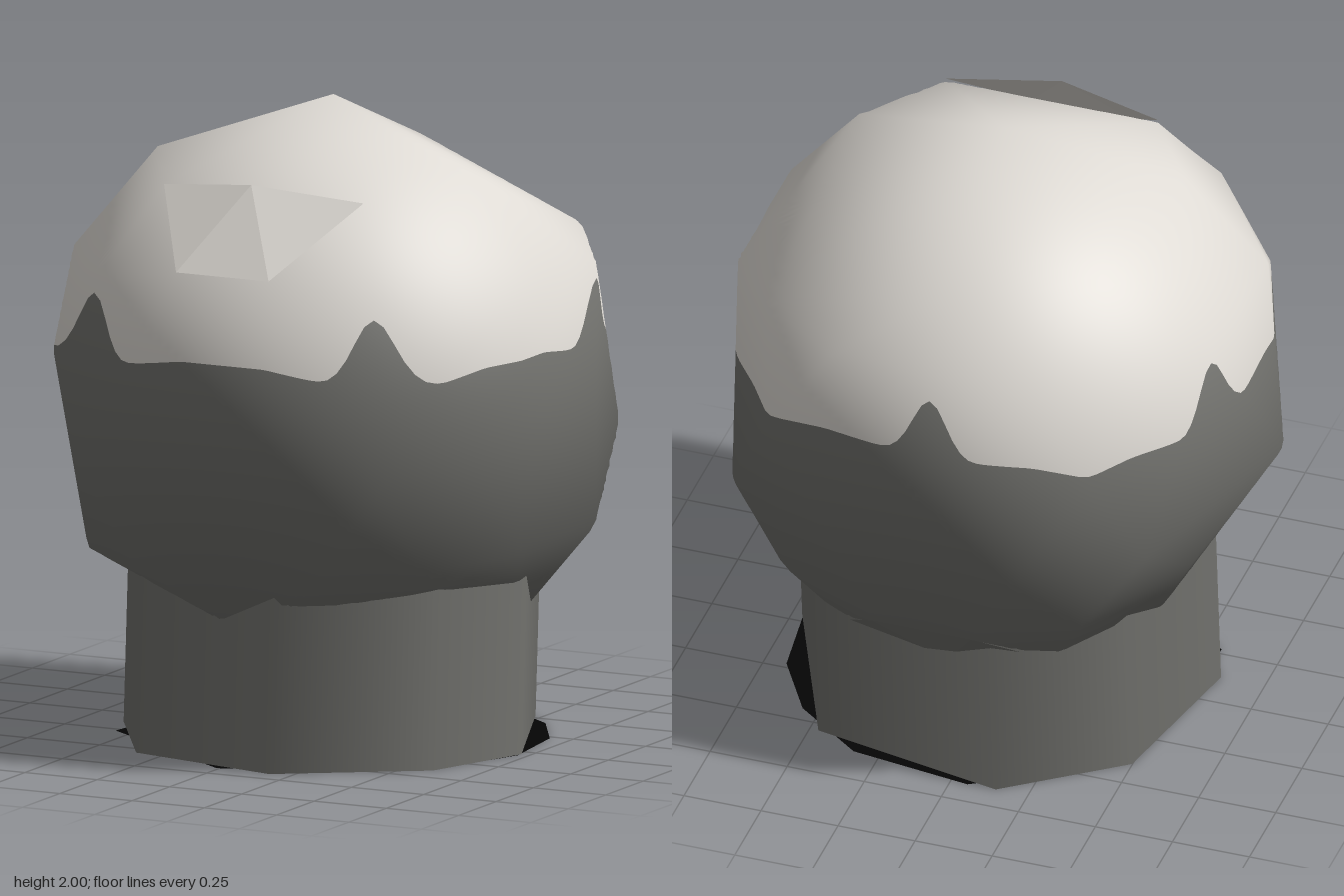
import * as THREE from 'three';
import { ConvexGeometry } from 'three/addons/geometries/ConvexGeometry.js';

const mat = (name, color) => {
  const m = new THREE.MeshStandardMaterial({ color, side: THREE.DoubleSide });
  m.name = name;
  return m;
};
const mesh = (name, geometry, material) => {
  const m = new THREE.Mesh(geometry, material);
  m.name = name;
  return m;
};
const rad = THREE.MathUtils.degToRad;
const CX = 0.05; // x of the upright axis
const CY = 1.09; // height of the head's centre

// Corners of the upper head; the lower head is the same turned half round the x axis
const CORNERS = [
  [0.05, 2, 0], [0.58, 1.82, 0.17], [-0.47, 1.82, 0.17], [0.05, 1.765, -0.61],
  [0.41, 1.77, 0.49], [-0.28, 1.77, 0.49], [-0.1, 1.56, 0.76], [0.22, 1.56, 0.76],
  [0.64, 1.56, -0.52], [-0.53, 1.56, -0.52], [0.54, 1.5, 0.66], [-0.43, 1.5, 0.66],
  [-0.27, 1.56, -0.71], [0.36, 1.56, -0.71], [0.83, 1.5, 0.25], [0.83, 1.5, -0.25],
  [0.58, 1.25, -0.72], [-0.47, 1.25, -0.72], [0.73, 1.25, 0.6], [-0.61, 1.25, 0.6],
];
// Corners of the uneven side, and its pointed tip
const SIDE_CORNERS = [
  [-0.83, 0.95, 0.08], [-0.72, 1.5, 0.25], [-0.7, 1.5, -0.25], [-0.64, 0.68, 0.25], [-0.64, 0.68, -0.25],
];

// Flat faces that bound the head
function headPlanes() {
  const pts = CORNERS.flatMap(([x, y, z]) => [
    new THREE.Vector3(x, y, z), new THREE.Vector3(x, 2 * CY - y, -z),
  ]);
  pts.push(...SIDE_CORNERS.map((p) => new THREE.Vector3(...p)));
  const pos = new ConvexGeometry(pts).getAttribute('position');
  const v = (i) => new THREE.Vector3().fromBufferAttribute(pos, i);
  const planes = [];
  for (let i = 0; i < pos.count; i += 3) {
    planes.push(new THREE.Plane().setFromCoplanarPoints(v(i), v(i + 1), v(i + 2)));
  }
  return planes;
}

// Point on the head at angle a (from +x towards +z) and height y
function headPoint(planes, a, y) {
  const origin = new THREE.Vector3(CX, y, 0);
  const dir = new THREE.Vector3(Math.cos(a), 0, Math.sin(a));
  let r = 2;
  for (const plane of planes) {
    const slope = plane.normal.dot(dir);
    if (slope > 1e-5) r = Math.min(r, -plane.distanceToPoint(origin) / slope);
  }
  return origin.addScaledVector(dir, Math.max(r, 0));
}

// Colour edge: nearly level, with five rounded peaks
function edgeY(a) {
  const deg = THREE.MathUtils.radToDeg(a);
  const d = ((deg - 54 + 36 + 360) % 72) - 36;
  return 1.25 + 0.2 * Math.exp(-((d / 6) ** 2)) + 0.028 * Math.min(1, Math.max(0, (Math.abs(d) - 10) / 15));
}

// Part of the head between the colour edge and the pole at endY
function headCap(planes, endY) {
  const cols = 180, rows = 32;
  const up = endY > CY;
  const pos = [], nor = [], idx = [];
  for (let row = 0; row <= rows; row++) {
    for (let j = 0; j <= cols; j++) {
      const a = (j / cols) * Math.PI * 2;
      const p = headPoint(planes, a, THREE.MathUtils.lerp(edgeY(a), endY, row / rows));
      const n = new THREE.Vector3(p.x - CX, p.y - CY, p.z).normalize();
      pos.push(p.x, p.y, p.z);
      nor.push(n.x, n.y, n.z);
      if (row && j < cols) {
        const d = row * (cols + 1) + j, c = d - cols - 1;
        if (up) idx.push(c, d, c + 1, c + 1, d, d + 1);
        else idx.push(c, c + 1, d, c + 1, d + 1, d);
      }
    }
  }
  const g = new THREE.BufferGeometry();
  g.setAttribute('position', new THREE.Float32BufferAttribute(pos, 3));
  g.setAttribute('normal', new THREE.Float32BufferAttribute(nor, 3));
  g.setIndex(idx);
  return g;
}

// Three-cornered flap lifting slightly off the head
function flapGeometry() {
  const p = [
    [-0.28, 1.775, 0.495], [-0.1, 1.56, 0.763], [0.05, 1.81, 0.55],
    [0.22, 1.56, 0.763], [0.41, 1.775, 0.495],
  ];
  const pos = [];
  for (let i = 0; i < p.length - 2; i++) {
    const tri = i % 2 ? [p[i], p[i + 2], p[i + 1]] : [p[i], p[i + 1], p[i + 2]];
    pos.push(...tri.flat());
  }
  const g = new THREE.BufferGeometry();
  g.setAttribute('position', new THREE.Float32BufferAttribute(pos, 3));
  g.computeVertexNormals();
  return g;
}

// Neck: irregular prism, open at both ends, leaning slightly
function neckGeometry() {
  const angles = [3, 35, 79, 126, 169, 215, 253, 309];
  const pos = [], nor = [], idx = [];
  for (let i = 0; i <= angles.length; i++) {
    const a = rad(angles[i % angles.length]);
    const c = Math.cos(a), s = Math.sin(a);
    pos.push(CX + 0.67 * c, 0, 0.69 * s, CX + 0.02 + 0.67 * c, 0.65, 0.69 * s);
    nor.push(c, 0, s, c, 0, s);
    if (i < angles.length) {
      const k = i * 2;
      idx.push(k, k + 1, k + 2, k + 2, k + 1, k + 3);
    }
  }
  const g = new THREE.BufferGeometry();
  g.setAttribute('position', new THREE.Float32BufferAttribute(pos, 3));
  g.setAttribute('normal', new THREE.Float32BufferAttribute(nor, 3));
  g.setIndex(idx);
  return g;
}

// Base: irregular flat polygon facing down
function baseGeometry() {
  const angles = [5, 37, 95, 156, 217, 261, 295, 319, 340];
  const pts = angles.map((d) => new THREE.Vector2(CX + 0.67 * Math.cos(rad(d)), 0.67 * Math.sin(rad(d))));
  return new THREE.ShapeGeometry(new THREE.Shape(pts)).rotateX(Math.PI / 2);
}

export function createModel() {
  const pale = mat('pale', 0xdedad4);
  const grey = mat('grey', 0x72726e);
  const black = mat('black', 0x050505);
  const planes = headPlanes();

  const model = new THREE.Group();
  model.name = 'roundHeadOnNeck';
  const lowerFlap = mesh('lowerBackFlap', flapGeometry(), grey);
  lowerFlap.rotation.x = Math.PI;
  lowerFlap.position.y = 2 * CY;
  model.add(
    mesh('headTop', headCap(planes, 2), pale),
    mesh('headBottom', headCap(planes, 2 * CY - 2), grey),
    mesh('upperFrontFlap', flapGeometry(), pale),
    lowerFlap,
    mesh('neck', neckGeometry(), grey),
    mesh('base', baseGeometry(), black),
  );
  return model;
}
